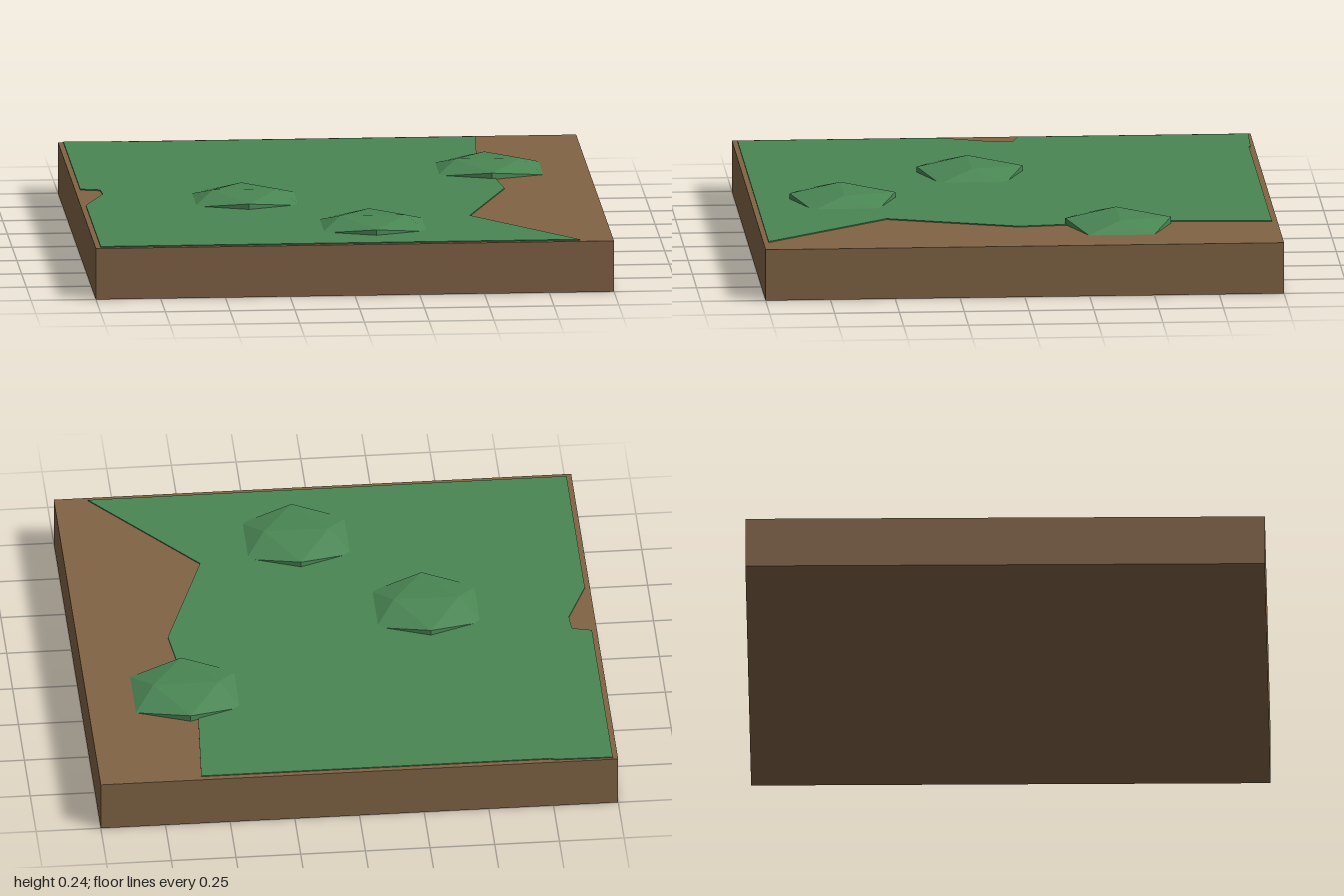
import * as THREE from 'three';

export function createModel() {
  const model = new THREE.Group();
  model.name = 'groundTile';

  const soil = new THREE.MeshStandardMaterial({ color: 0x806345 });
  soil.name = 'soil brown';
  const grass = new THREE.MeshStandardMaterial({ color: 0x4a8654 });
  grass.name = 'grass green';

  const add = (name, geometry, material, x, y, z) => {
    const mesh = new THREE.Mesh(geometry, material);
    mesh.name = name;
    mesh.position.set(x, y, z);
    model.add(mesh);
    return mesh;
  };

  // Square slab of earth
  add('soilSlab', new THREE.BoxGeometry(2, 0.2, 2), soil, 0, 0.1, 0);

  // Thin grass sheet with a ragged edge, outline given as [x, z]
  const outline = [
    [-0.98, -0.99], [-0.76, -0.985], [-0.74, -0.978], [0.61, -0.978],
    [0.58, -0.5], [0.63, -0.18], [0.65, 0], [0.48, 0.5], [0.87, 0.98],
    [-0.98, 0.98], [-0.98, 0.2], [-0.9, 0], [-0.905, -0.08], [-0.98, -0.1],
  ];
  const shape = new THREE.Shape(outline.map(([x, z]) => new THREE.Vector2(x, z)));
  const sheet = new THREE.ExtrudeGeometry(shape, { depth: 0.004, bevelEnabled: false });
  sheet.rotateX(Math.PI / 2);
  add('grassSheet', sheet, grass, 0, 0.204, 0);

  // Flattened faceted mounds, half sunk into the slab
  const moundGeometry = new THREE.IcosahedronGeometry(0.24, 0);
  moundGeometry.scale(1, 0.2, 1);
  moundGeometry.computeVertexNormals();
  const mounds = [[0.615, -0.385], [-0.36, 0.125], [0.095, 0.645]];
  mounds.forEach(([x, z], i) => add(`grassMound${i + 1}`, moundGeometry, grass, x, 0.2, z));

  return model;
}
